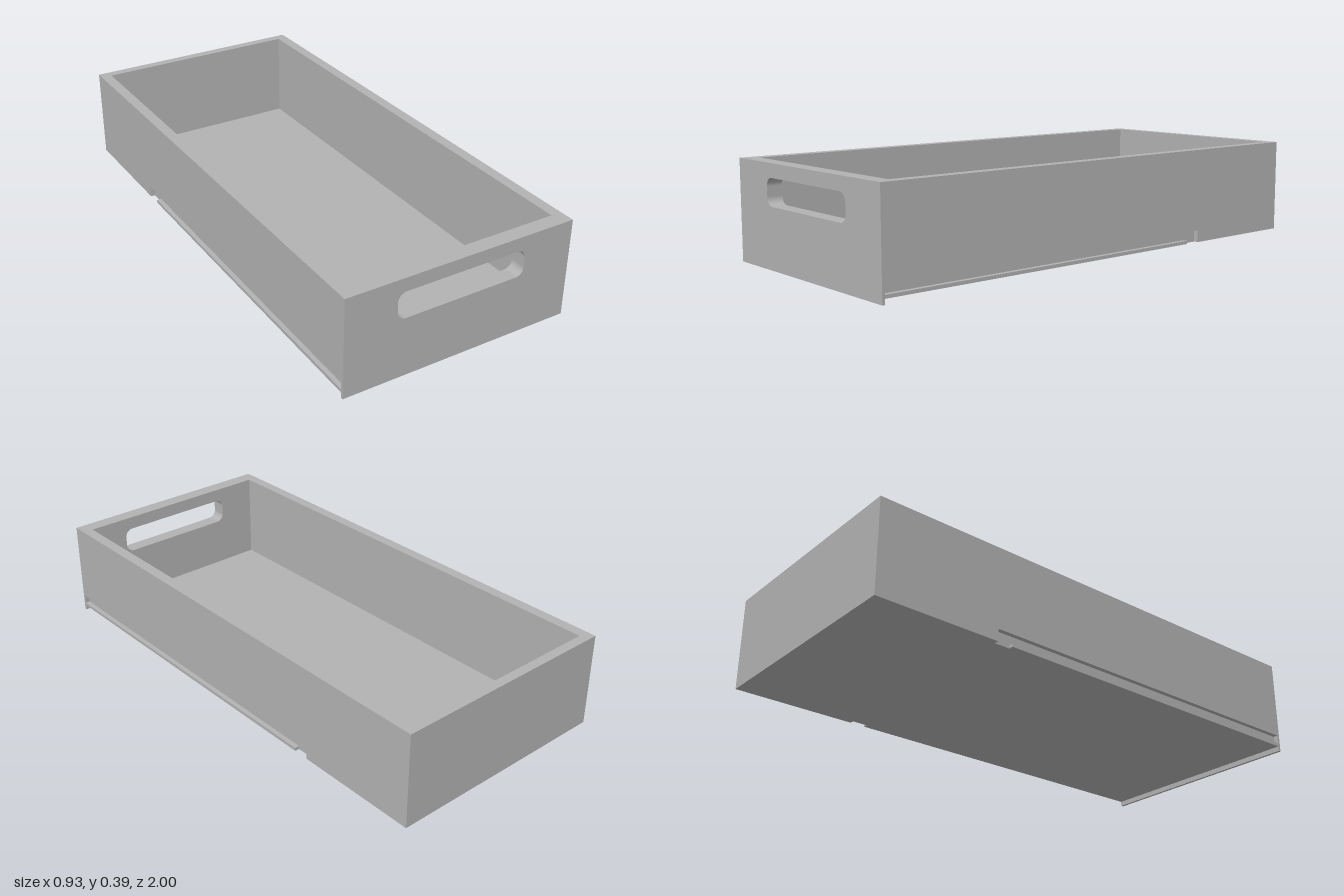
import * as THREE from 'three';

const W = 0.463, INNER = 0.42, TOP = 0.39, BOTTOM = 0.02;
const BACK = -1, BACK_IN = -0.963, FRONT_IN = 0.94, PANEL = 0.989, FRONT = 1;
const GROOVE_TOP = 0.068, RAIL_TOP = 0.033, GROOVE_X = W - 0.018;
const GROOVE_END = -0.503, RAIL_END = -0.44;

export function createModel() {
  const grey = new THREE.MeshStandardMaterial({ color: 0xb2b2b2 });
  grey.name = 'grey';
  const group = new THREE.Group();
  group.name = 'drawer';

  const add = (name, geometry) => {
    const mesh = new THREE.Mesh(geometry, grey);
    mesh.name = name;
    group.add(mesh);
  };
  // Extrude an outline along z between two depths
  const extrude = (name, shape, z0, z1) => {
    const g = new THREE.ExtrudeGeometry(shape, { depth: z1 - z0, bevelEnabled: false, curveSegments: 10 });
    add(name, g.translate(0, 0, z0));
  };
  const outline = (points) => new THREE.Shape(points.map(([x, y]) => new THREE.Vector2(x, y)));
  const rect = (x, y0, y1) => outline([[-x, y0], [x, y0], [x, y1], [-x, y1]]);

  // Rounded slot for the hand grip
  const gripHole = () => {
    const x = 0.26, y0 = 0.233, y1 = 0.337, r = 0.033;
    const p = new THREE.Path();
    p.absarc(x - r, y0 + r, r, -Math.PI / 2, 0);
    p.absarc(x - r, y1 - r, r, 0, Math.PI / 2);
    p.absarc(-x + r, y1 - r, r, Math.PI / 2, Math.PI);
    p.absarc(-x + r, y0 + r, r, Math.PI, Math.PI * 1.5);
    p.closePath();
    return p;
  };

  // Front panel hangs below the box; the front wall sits behind it
  const panel = rect(W, 0, TOP);
  panel.holes.push(gripHole());
  extrude('frontPanel', panel, PANEL, FRONT);
  const wall = rect(INNER, BOTTOM, TOP);
  wall.holes.push(gripHole());
  extrude('frontWall', wall, FRONT_IN, PANEL);

  extrude('backWall', rect(INNER, BOTTOM, TOP), BACK, BACK_IN);
  extrude('floor', rect(INNER, BOTTOM, 0.029), BACK_IN, FRONT_IN);

  // Side walls: plain rear, open notch, then a groove above a runner rail
  for (const [side, s] of [['left', 1], ['right', -1]]) {
    const plain = [[INNER, BOTTOM], [W, BOTTOM], [W, TOP], [INNER, TOP]];
    const notch = [[INNER, BOTTOM], [GROOVE_X, BOTTOM], [GROOVE_X, GROOVE_TOP],
      [W, GROOVE_TOP], [W, TOP], [INNER, TOP]];
    const grooved = [[INNER, BOTTOM], [W, BOTTOM], [W, RAIL_TOP], [GROOVE_X, RAIL_TOP],
      [GROOVE_X, GROOVE_TOP], [W, GROOVE_TOP], [W, TOP], [INNER, TOP]];
    const section = (pts) => outline(pts.map(([x, y]) => [s * x, y]));
    extrude(side + 'WallRear', section(plain), BACK, GROOVE_END);
    extrude(side + 'WallNotch', section(notch), GROOVE_END, RAIL_END);
    extrude(side + 'WallRail', section(grooved), RAIL_END, PANEL);
  }
  return group;
}
